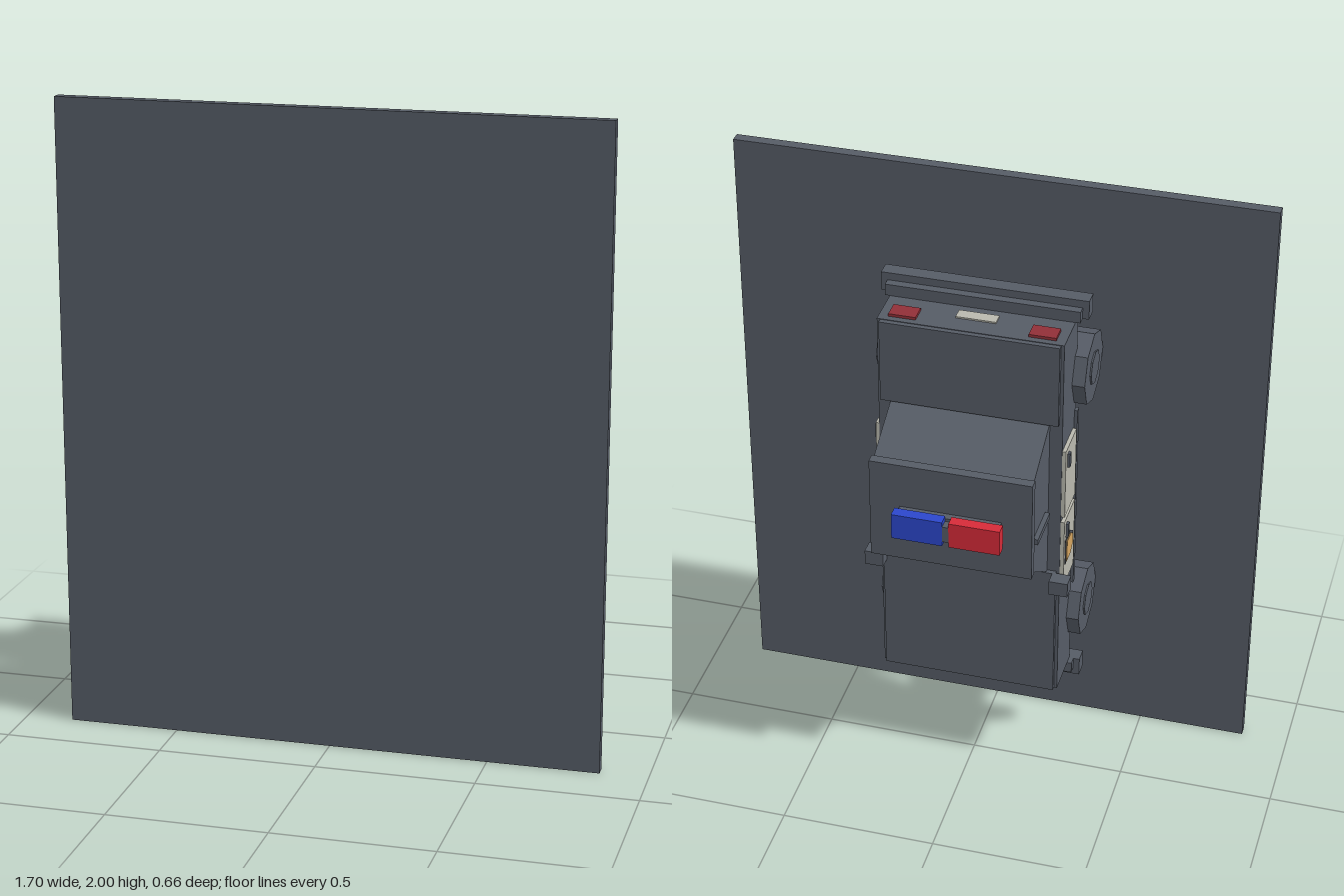
import * as THREE from 'three';

const paint = (name, color) => {
  const m = new THREE.MeshStandardMaterial({ color });
  m.name = name;
  return m;
};

export function createModel() {
  const slate = paint('slate grey', 0x565c66);
  const white = paint('off white', 0xbab9ae);
  const gold = paint('gold', 0xd6a661);
  const red = paint('signal red', 0xd62b39);
  const blue = paint('signal blue', 0x2c47cc);
  const darkRed = paint('tail light red', 0x913038);

  const group = new THREE.Group();
  const add = (name, geometry, material) => {
    const mesh = new THREE.Mesh(geometry, material);
    mesh.name = name;
    group.add(mesh);
    return mesh;
  };
  // Box from its limits on each axis
  const box = (name, material, [x0, x1], [y0, y1], [z0, z1]) => {
    const g = new THREE.BoxGeometry(x1 - x0, y1 - y0, z1 - z0);
    g.translate((x0 + x1) / 2, (y0 + y1) / 2, (z0 + z1) / 2);
    return add(name, g, material);
  };
  // The same box on both sides of the car
  const pair = (name, material, [a, b], y, z) => {
    box(name + 'Left', material, [a, b], y, z);
    box(name + 'Right', material, [-b, -a], y, z);
  };
  // Outline in (z, y) extruded from x0 to x1
  const slab = (name, material, points, x0, x1) => {
    const shape = new THREE.Shape(points.map(([z, y]) => new THREE.Vector2(-z, y)));
    const g = new THREE.ExtrudeGeometry(shape, { depth: x1 - x0, bevelEnabled: false });
    g.rotateY(Math.PI / 2).translate(x0, 0, 0);
    return add(name, g, material);
  };

  // Upright ground plate; the car's roof points to -z, its nose to -y
  box('groundPlate', slate, [-0.85, 0.85], [0, 2], [0.295, 0.33]);

  // Body, hood and trunk
  box('body', slate, [-0.29, 0.29], [0.35, 1.655], [-0.05, 0.117]);
  box('hood', slate, [-0.28, 0.28], [0.352, 0.82], [-0.066, -0.04]);
  box('trunk', slate, [-0.28, 0.28], [1.375, 1.653], [-0.066, -0.04]);
  pair('sill', slate, [0.28, 0.3], [0.67, 1.33], [0.1, 0.12]);

  // Cabin with sloping windows, roof and pillars
  slab('cabin', slate, [[-0.045, 0.81], [-0.045, 1.375], [-0.25, 1.275], [-0.25, 0.955]], -0.25, 0.25);
  box('roof', slate, [-0.255, 0.255], [0.945, 1.29], [-0.272, -0.24]);
  pair('doorPillar', slate, [0.24, 0.265], [1.05, 1.07], [-0.235, -0.09]);

  // Light bar
  box('lightBarBase', slate, [-0.16, 0.16], [1.07, 1.14], [-0.297, -0.27]);
  box('lightBarDivider', slate, [-0.01, 0.01], [1.075, 1.13], [-0.328, -0.295]);
  box('blueLight', blue, [0.01, 0.17], [1.06, 1.147], [-0.33, -0.293]);
  box('redLight', red, [-0.17, -0.01], [1.06, 1.147], [-0.33, -0.293]);

  // Mirrors
  pair('mirror', slate, [0.27, 0.33], [0.77, 0.82], [-0.108, -0.06]);

  // Doors and handles
  for (const [y0, y1, label] of [[0.76, 1.01, 'front'], [1.03, 1.275, 'rear']]) {
    pair(label + 'Door', white, [0.285, 0.302], [y0, y1], [-0.048, 0.085]);
    pair(label + 'DoorHandle', slate, [0.3, 0.31], [y1 - 0.07, y1 - 0.02], [-0.027, -0.011]);
  }

  // Shield badges on the front doors, with a dark rim
  const shield = (s) => [[-0.029, -0.042], [-0.029, 0.042], [0.025, 0.042], [0.058, 0.018], [0.058, -0.018], [0.025, -0.042]]
    .map(([z, y]) => [0.014 + (z - 0.014) * s, 0.885 + y * s]);
  for (const side of [1, -1]) {
    const name = side > 0 ? 'Left' : 'Right';
    const span = (a, b) => (side > 0 ? [a, b] : [-b, -a]);
    slab('badgeRim' + name, slate, shield(1.1), ...span(0.3, 0.304));
    slab('badge' + name, gold, shield(0.9), ...span(0.302, 0.307));
  }

  // Lamps and number plate
  pair('headlight', gold, [0.175, 0.26], [0.341, 0.35], [-0.027, 0.037]);
  pair('tailLight', darkRed, [0.175, 0.26], [1.655, 1.664], [-0.03, 0.027]);
  box('numberPlate', white, [-0.063, 0.063], [1.655, 1.66], [0.015, 0.055]);

  // Stepped bumpers at both ends
  for (const [name, edge, dir] of [['front', 0.35, -1], ['rear', 1.655, 1]]) {
    const reach = (d) => [edge, edge + dir * d].sort((a, b) => a - b);
    box(name + 'BumperStep', slate, [-0.305, 0.305], reach(0.038), [0.085, 0.115]);
    box(name + 'Bumper', slate, [-0.325, 0.325], reach(0.063), [0.112, 0.16]);
  }

  // Eight-sided wheels with hubcaps
  for (const side of [1, -1]) {
    for (const y of [0.557, 1.448]) {
      for (const [part, r, w, x] of [['wheel', 0.119, 0.09, 0.285], ['hubcap', 0.055, 0.02, 0.325]]) {
        const g = new THREE.CylinderGeometry(r, r, w, 8).toNonIndexed();
        g.rotateZ(Math.PI / 2).translate(side * x, y, 0.176);
        g.computeVertexNormals();
        add(part, g, slate);
      }
    }
  }
  return group;
}
